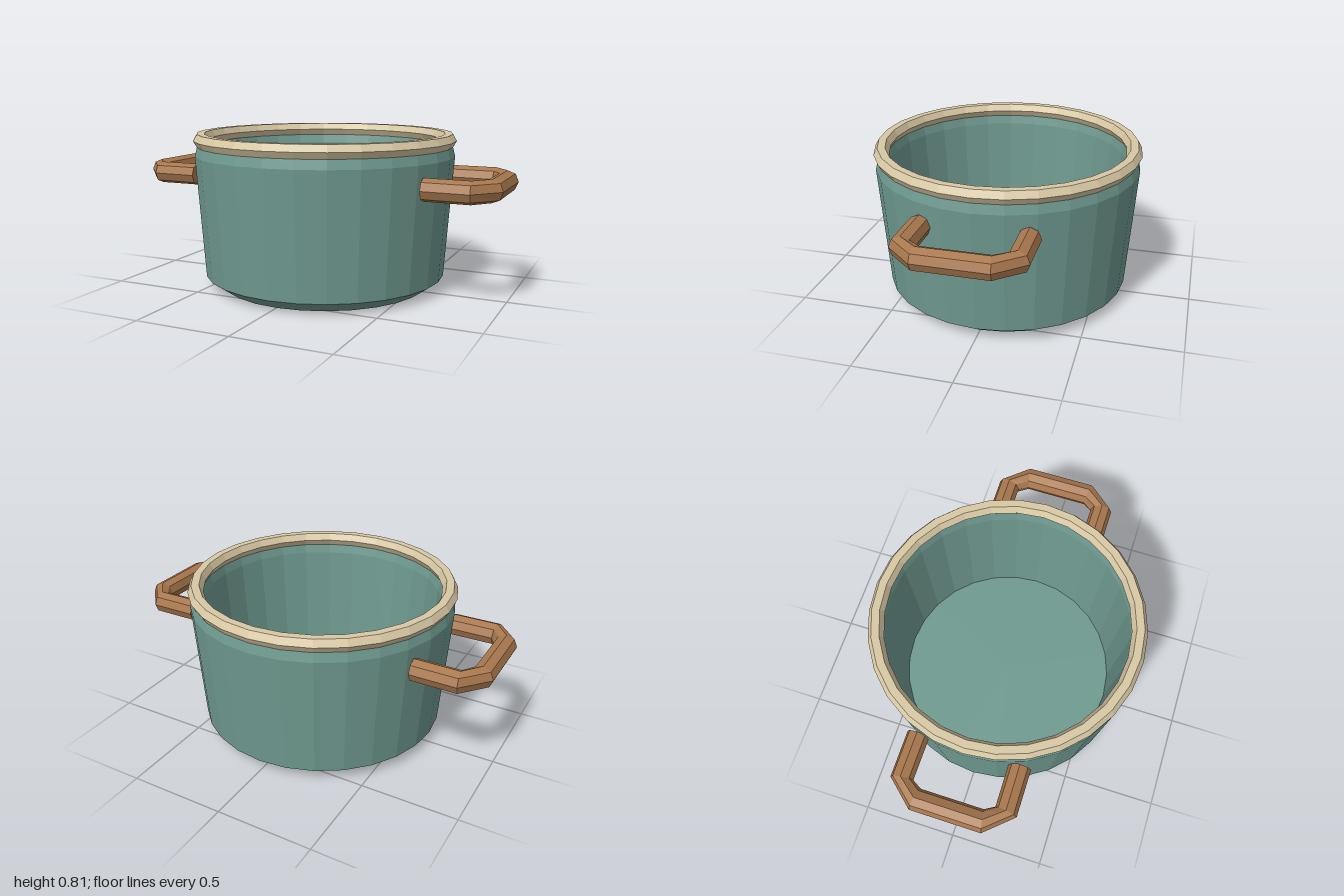
import * as THREE from 'three';

const SIDES = 28;
const paint = (color) => new THREE.MeshStandardMaterial({ color, flatShading: true });

function part(name, geometry, material) {
  const mesh = new THREE.Mesh(geometry, material);
  mesh.name = name;
  return mesh;
}

// Octagonal bar swept through rings lying in the horizontal plane.
// Each ring: x, z and the direction (nx, nz) of its outer side.
function sweepBar(rings, y, radius, sides = 8) {
  const positions = [];
  const index = [];
  for (const [x, z, nx, nz] of rings) {
    for (let j = 0; j < sides; j++) {
      const a = (j / sides) * Math.PI * 2;
      const out = radius * Math.cos(a);
      positions.push(x + nx * out, y + radius * Math.sin(a), z + nz * out);
    }
  }
  for (let i = 0; i < rings.length - 1; i++) {
    for (let j = 0; j < sides; j++) {
      const a = i * sides + j;
      const b = i * sides + ((j + 1) % sides);
      index.push(a, a + sides, b, b, a + sides, b + sides);
    }
  }
  // End caps
  const last = (rings.length - 1) * sides;
  for (let j = 1; j < sides - 1; j++) {
    index.push(0, j, j + 1, last, last + j + 1, last + j);
  }
  const geometry = new THREE.BufferGeometry();
  geometry.setAttribute('position', new THREE.Float32BufferAttribute(positions, 3));
  geometry.setIndex(index);
  geometry.computeVertexNormals();
  return geometry;
}

export function createModel() {
  const group = new THREE.Group();
  const enamel = paint(0x6f9a90);
  const cream = paint(0xd8c8a4);
  const wood = paint(0xa9784e);

  // Pot: outer wall, lip and inner wall in one closed profile
  const profile = [
    [0, 0], [0.56, 0], [0.645, 0.06], [0.69, 0.7], [0.675, 0.76],
    [0.64, 0.76], [0.625, 0.7], [0.577, 0.08], [0, 0.08],
  ].map(([r, y]) => new THREE.Vector2(r, y));
  group.add(part('pot', new THREE.LatheGeometry(profile, SIDES), enamel));

  // Rim: six-sided ring around the mouth
  const rimGeometry = new THREE.TorusGeometry(0.657, 0.04, 6, SIDES);
  rimGeometry.rotateX(Math.PI / 2);
  const rim = part('rim', rimGeometry, cream);
  rim.position.y = 0.78;
  group.add(rim);

  // Handles: half of the loop, mirrored in z, then turned to the other side
  const half = [[0.635, 0.265, 0], [0.866, 0.267, 0.15], [0.942, 0.172, 1.38]]
    .map(([x, z, angle]) => [x, z, Math.sin(angle), Math.cos(angle)]);
  const mirrored = half.map(([x, z, nx, nz]) => [x, -z, nx, -nz]).reverse();
  const handleGeometry = sweepBar([...half, ...mirrored], 0.583, 0.057);
  for (const [name, turn] of [['leftHandle', 0], ['rightHandle', Math.PI]]) {
    const handle = part(name, handleGeometry, wood);
    handle.rotation.y = turn;
    group.add(handle);
  }
  return group;
}
